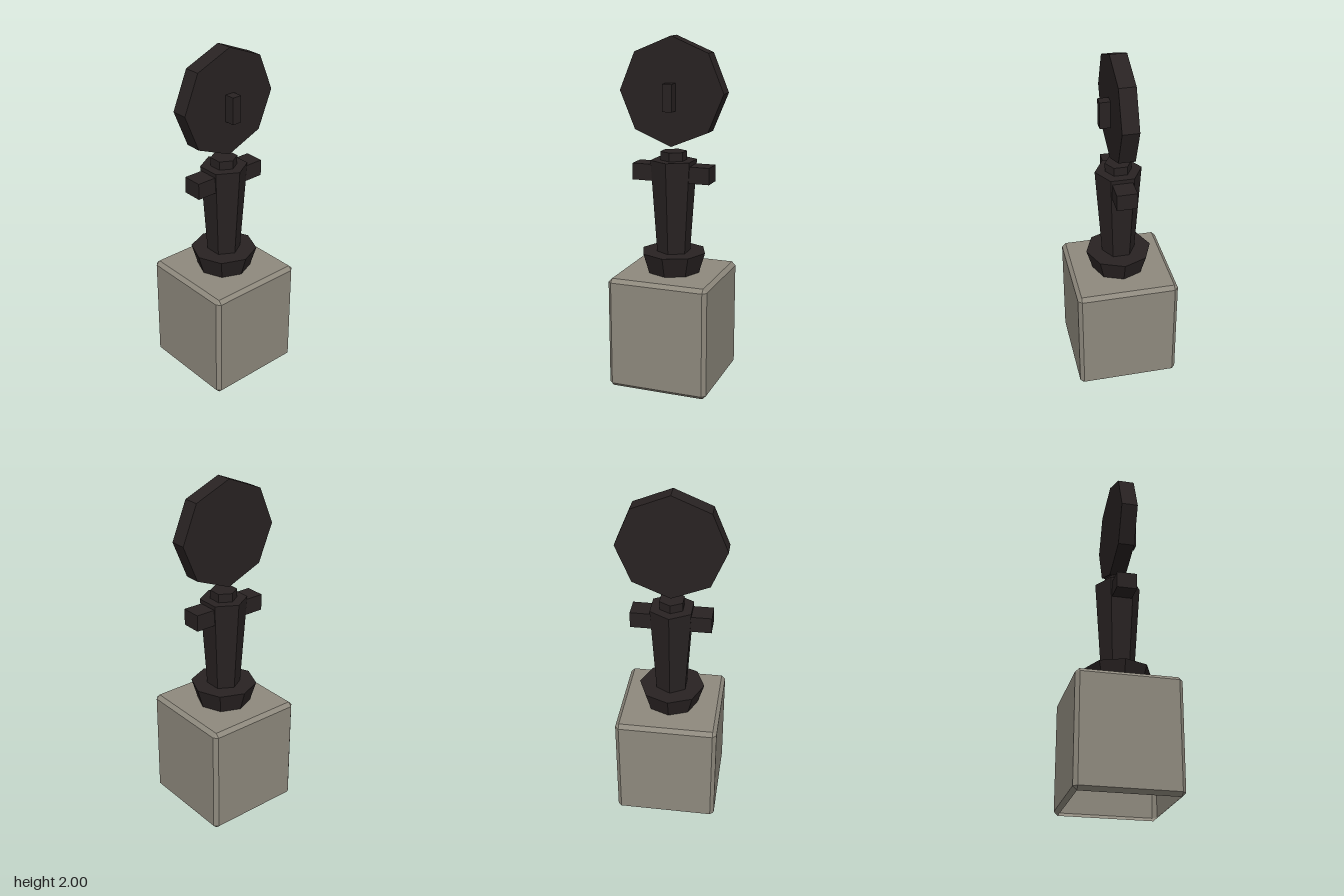
import * as THREE from 'three';

const stone = new THREE.MeshStandardMaterial({ color: 0x8e897d, flatShading: true, side: THREE.DoubleSide });
const iron = new THREE.MeshStandardMaterial({ color: 0x282222, flatShading: true });

// Chamfered block standing on y = 0, open underneath
function chamferedBlock(half, height, c) {
  const k = half - c;
  // eight-point outline: square with cut corners, anticlockwise seen from above
  const ring = (y, h) => [[1, 1], [1, -1], [-1, -1], [-1, 1]].flatMap(([sx, sz], i) => {
    const a = [sx * h, y, sz * k], b = [sx * k, y, sz * h];
    return i % 2 ? [a, b] : [b, a];
  });
  const rings = [ring(0, k), ring(c, half), ring(height - c, half), ring(height, k)];
  const pos = [];
  const same = (p, q) => p.every((v, i) => v === q[i]);
  const tri = (a, b, d) => {
    if (!same(a, b) && !same(b, d) && !same(a, d)) pos.push(...a, ...b, ...d);
  };
  for (let r = 0; r < 3; r++) {
    for (let i = 0; i < 8; i++) {
      const j = (i + 1) % 8;
      const [a, b, d, e] = [rings[r][i], rings[r][j], rings[r + 1][j], rings[r + 1][i]];
      tri(a, b, d);
      tri(a, d, e);
    }
  }
  const top = rings[3];
  for (let i = 1; i < 7; i++) tri(top[0], top[i], top[i + 1]);
  const geo = new THREE.BufferGeometry();
  geo.setAttribute('position', new THREE.Float32BufferAttribute(pos, 3));
  geo.computeVertexNormals();
  return geo;
}

// Faceted upright section between two heights
function section(rTop, rBottom, y0, y1, sides) {
  return new THREE.CylinderGeometry(rTop, rBottom, y1 - y0, sides).translate(0, (y0 + y1) / 2, 0);
}

export function createModel() {
  const model = new THREE.Group();
  const add = (name, geometry, material = iron) => {
    const mesh = new THREE.Mesh(geometry, material);
    mesh.name = name;
    model.add(mesh);
  };

  add('baseBlock', chamferedBlock(0.294, 0.655, 0.022), stone);

  // Post
  add('foot', section(0.191, 0.155, 0.655, 0.773, 8));
  add('post', section(0.134, 0.097, 0.77, 1.308, 6));
  add('postCap', section(0.076, 0.076, 1.308, 1.358, 6));
  add('crossbar', new THREE.BoxGeometry(0.46, 0.095, 0.116).translate(0, 1.236, 0));

  // Eight-sided disc, floating above the post, with a small block on its front
  add('disc', new THREE.CylinderGeometry(0.306, 0.306, 0.094, 8).rotateX(Math.PI / 2).translate(0, 1.694, 0));
  add('frontBlock', new THREE.BoxGeometry(0.056, 0.154, 0.075).translate(0, 1.667, 0.07));

  return model;
}
